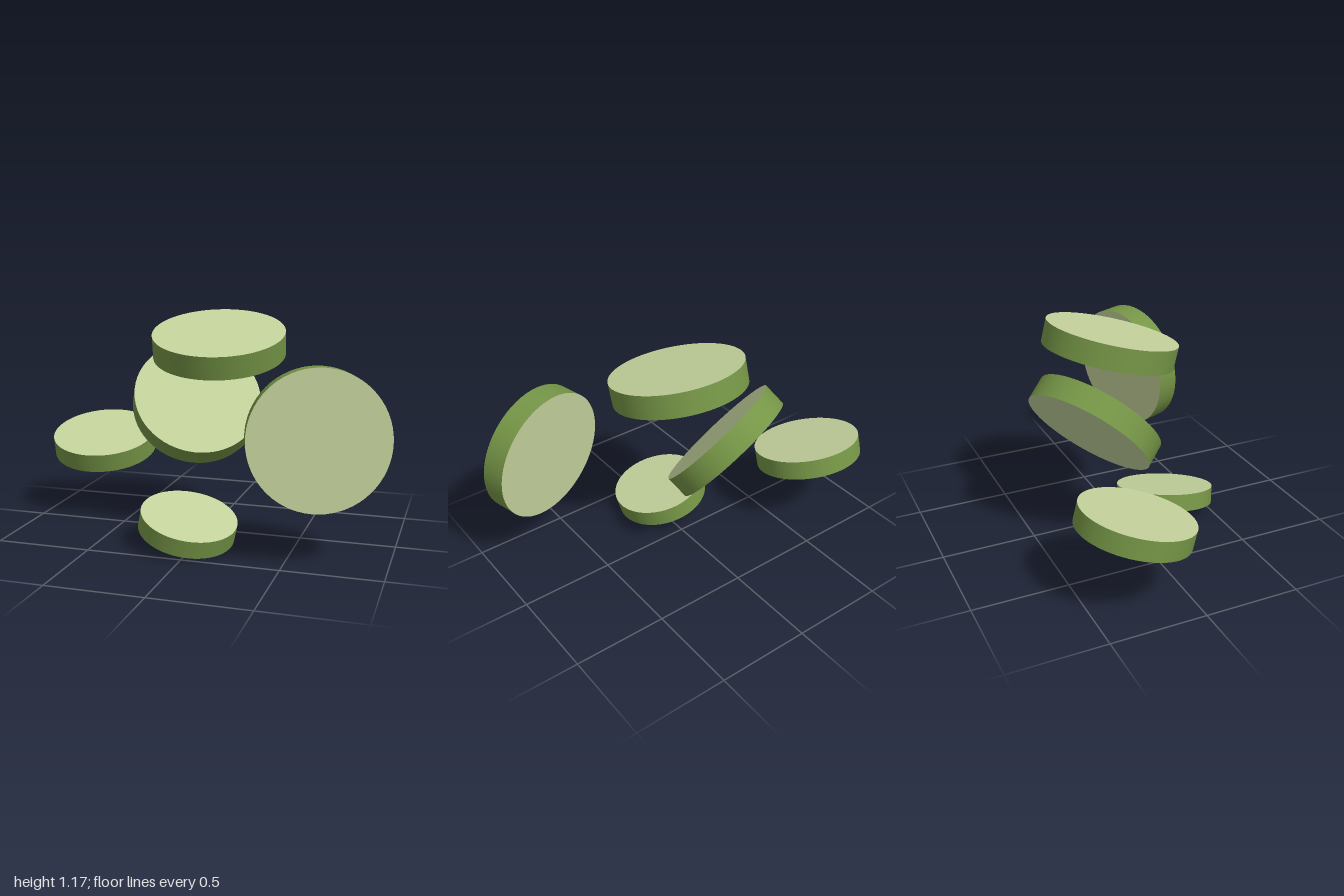
import * as THREE from 'three';

export function createModel() {
  const model = new THREE.Group();
  model.name = 'slices';

  const rind = new THREE.MeshStandardMaterial({ color: 0x759546 });
  rind.name = 'green rind';
  const flesh = new THREE.MeshStandardMaterial({ color: 0xc4d29c });
  flesh.name = 'pale flesh';

  // One round slice: centre, direction its upper face points, radii and thickness
  const up = new THREE.Vector3(0, 1, 0);
  function addSlice(name, centre, normal, rx, rz, thickness) {
    const geometry = new THREE.CylinderGeometry(1, 1, thickness, 64);
    geometry.scale(rx, 1, rz);
    const slice = new THREE.Mesh(geometry, [rind, flesh, flesh]);
    slice.name = name;
    slice.position.set(...centre);
    slice.quaternion.setFromUnitVectors(up, new THREE.Vector3(...normal).normalize());
    model.add(slice);
  }

  addSlice('topSlice', [0.042, 1.02, -0.029], [0.035, 0.968, 0.25], 0.35, 0.35, 0.124);
  addSlice('uprightSlice', [0.645, 0.622, 0.353], [0.285, 0.07, 0.956], 0.35, 0.35, 0.124);
  addSlice('middleSlice', [-0.135, 0.669, -0.197], [0.353, 0.645, 0.685], 0.35, 0.35, 0.124);
  addSlice('sideSlice', [-0.707, 0.405, -0.237], [0.03, 0.966, 0.26], 0.291, 0.291, 0.104);
  addSlice('bottomSlice', [-0.039, 0.113, 0.262], [0.225, 0.965, 0.135], 0.252, 0.268, 0.093);

  return model;
}
